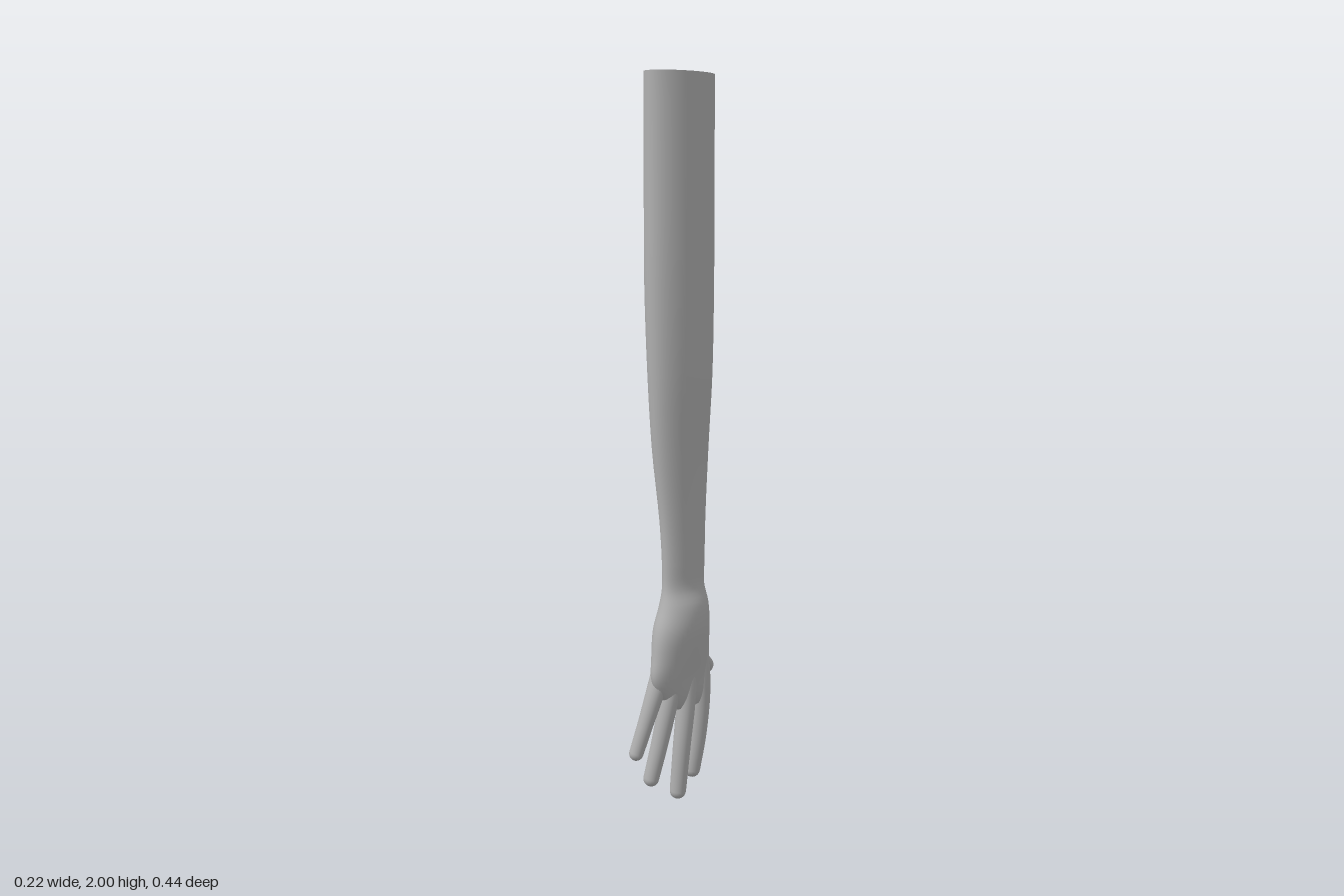
import * as THREE from 'three';

const V = (x, y, z) => new THREE.Vector3(x, y, z);

// Skin a list of elliptical rings {c, t, ru, rv}; the ring normal t runs along the limb
function skin(rings, sides) {
  const pos = [], idx = [];
  for (const { c, t, ru, rv } of rings) {
    const u = V(1, 0, 0).addScaledVector(t, -t.x).normalize();
    const v = t.clone().cross(u);
    for (let j = 0; j < sides; j++) {
      const a = (j / sides) * Math.PI * 2;
      const p = c.clone().addScaledVector(u, Math.cos(a) * ru).addScaledVector(v, Math.sin(a) * rv);
      pos.push(p.x, p.y, p.z);
    }
  }
  for (let i = 0; i < rings.length - 1; i++) {
    for (let j = 0; j < sides; j++) {
      const k = (j + 1) % sides;
      const a = i * sides + j, b = i * sides + k, c = a + sides, d = b + sides;
      idx.push(a, b, c, b, d, c);
    }
  }
  const g = new THREE.BufferGeometry();
  g.setAttribute('position', new THREE.Float32BufferAttribute(pos, 3));
  g.setIndex(idx);
  g.computeVertexNormals();
  return g;
}

// Forearm and palm: horizontal sections [y, centre x, centre z, half width x, half width z]
const ARM = [
  [2, 0.035, 0.056, 0.07, 0.121],
  [1.7, 0.035, 0.056, 0.07, 0.121],
  [1.45, 0.035, 0.056, 0.069, 0.121],
  [1.2, 0.036, 0.054, 0.063, 0.115],
  [1.0, 0.035, 0.052, 0.054, 0.102],
  [0.8, 0.039, 0.048, 0.043, 0.084],
  [0.68, 0.041, 0.047, 0.039, 0.079],
  [0.61, 0.041, 0.048, 0.04, 0.078],
  [0.56, 0.046, 0.052, 0.053, 0.087],
  [0.5, 0.045, 0.06, 0.059, 0.1],
  [0.43, 0.043, 0.062, 0.052, 0.108],
  [0.36, 0.042, 0.06, 0.041, 0.114],
  [0.3, 0.044, 0.045, 0.031, 0.09],
  [0.268, 0.046, 0.038, 0.018, 0.06],
  [0.258, 0.046, 0.038, 0.001, 0.002],
];

function armGeometry() {
  const centre = new THREE.CatmullRomCurve3(ARM.map(([y, x, z]) => V(x, y, z)));
  const radii = new THREE.CatmullRomCurve3(ARM.map(([y, , , rx, rz]) => V(rx, y, rz)));
  const n = (ARM.length - 1) * 4, rings = [];
  for (let i = 0; i <= n; i++) {
    const r = radii.getPoint(i / n);
    rings.push({ c: centre.getPoint(i / n), t: V(0, -1, 0), ru: r.x, rv: r.z });
  }
  return skin(rings, 48);
}

// Digit: tapered tube through [x, y, z, radius] with a rounded tip
function digitGeometry(points) {
  const path = new THREE.CatmullRomCurve3(points.map(([x, y, z]) => V(x, y, z)));
  const n = 20, rings = [], last = points.length - 1;
  for (let i = 0; i <= n; i++) {
    const s = (i / n) * last, k = Math.min(Math.floor(s), last - 1);
    const r = THREE.MathUtils.lerp(points[k][3], points[k + 1][3], s - k);
    rings.push({ c: path.getPoint(i / n), t: path.getTangent(i / n), ru: r, rv: r });
  }
  const end = rings[n], r = end.ru;
  for (let i = 1; i <= 6; i++) {
    const a = (i / 6) * Math.PI * 0.497;
    const w = r * Math.cos(a);
    rings.push({ c: end.c.clone().addScaledVector(end.t, r * Math.sin(a)), t: end.t, ru: w, rv: w });
  }
  return skin(rings, 20);
}

const DIGITS = {
  littleFinger: [[0.035, 0.42, 0.115, 0.03], [0.028, 0.33, 0.15, 0.026], [0.015, 0.24, 0.178, 0.022], [0.0, 0.158, 0.2, 0.02]],
  ringFinger: [[0.045, 0.42, 0.085, 0.03], [0.043, 0.3, 0.112, 0.027], [0.03, 0.18, 0.135, 0.024], [0.015, 0.077, 0.155, 0.022]],
  middleFinger: [[0.052, 0.42, 0.045, 0.03], [0.055, 0.29, 0.052, 0.027], [0.05, 0.16, 0.064, 0.025], [0.04, 0.024, 0.07, 0.023]],
  indexFinger: [[0.045, 0.42, -0.01, 0.032], [0.048, 0.3, -0.02, 0.028], [0.038, 0.17, -0.02, 0.025], [0.022, 0.06, -0.014, 0.023]],
  thumb: [[0.035, 0.53, 0.025, 0.045], [0.006, 0.46, -0.015, 0.053], [-0.034, 0.395, -0.085, 0.041], [-0.064, 0.335, -0.15, 0.03], [-0.083, 0.307, -0.197, 0.027]],
};

export function createModel() {
  const skinGrey = new THREE.MeshStandardMaterial({ color: 0xb0b0b0, side: THREE.DoubleSide });
  skinGrey.name = 'skinGrey';
  const model = new THREE.Group();
  model.name = 'armWithHand';
  const add = (name, geometry) => {
    const mesh = new THREE.Mesh(geometry, skinGrey);
    mesh.name = name;
    model.add(mesh);
  };

  add('forearmAndPalm', armGeometry());
  for (const [name, points] of Object.entries(DIGITS)) add(name, digitGeometry(points));
  return model;
}
